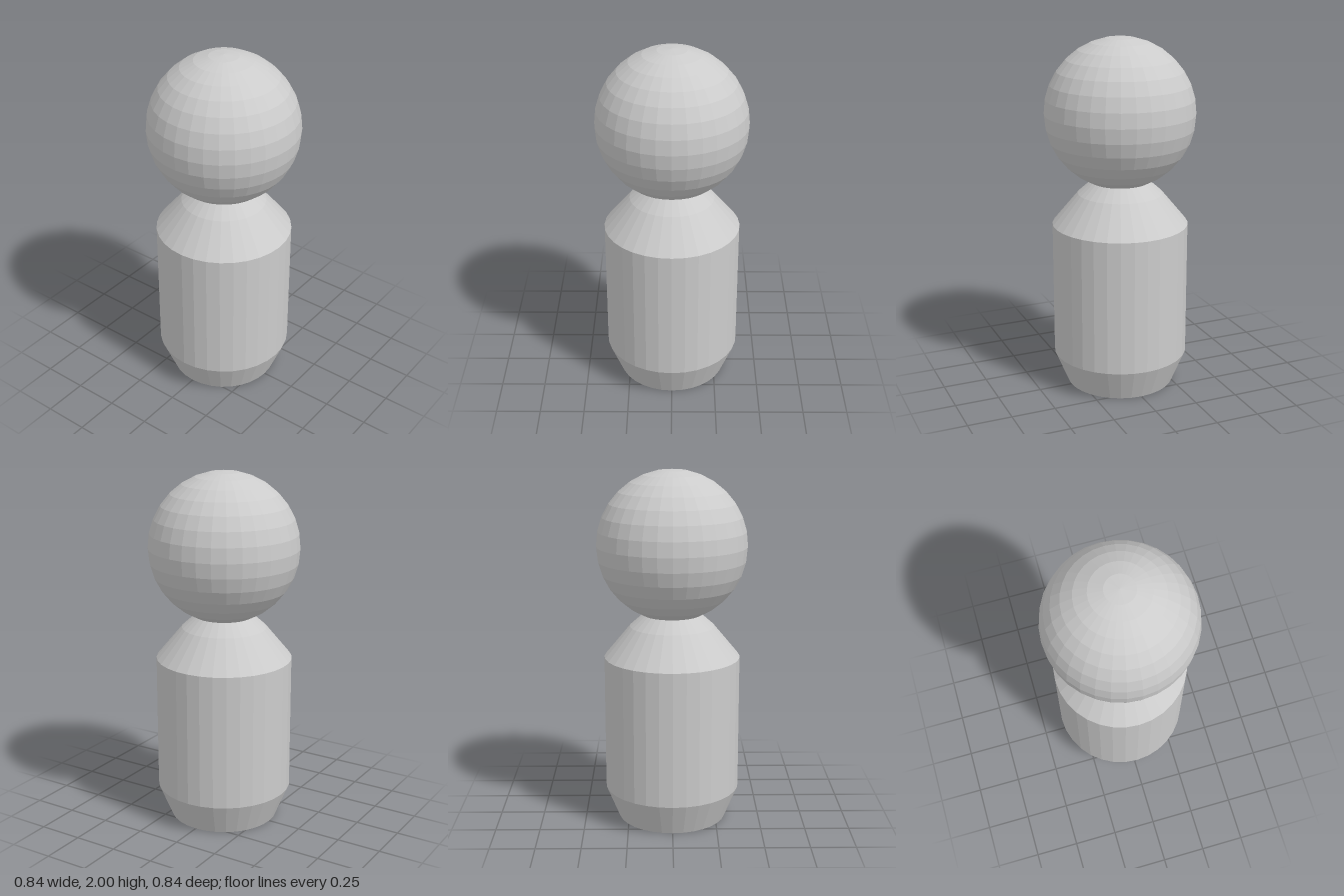
import * as THREE from 'three';

const SIDES = 32;

export function createModel() {
  const group = new THREE.Group();
  const material = new THREE.MeshStandardMaterial({ color: 0xcccccc, flatShading: true });

  const addPart = (name, geometry, y = 0) => {
    const mesh = new THREE.Mesh(geometry, material);
    mesh.name = name;
    mesh.position.y = y;
    group.add(mesh);
  };

  // Turned body: flat base, tapered foot, straight trunk, sloping shoulders into the head
  const profile = [
    [0, 0], [0.307, 0], [0.383, 0.185], [0.383, 0.952], [0.238, 1.127], [0.16, 1.196], [0, 1.25],
  ].map(([r, y]) => new THREE.Vector2(r, y));
  addPart('body', new THREE.LatheGeometry(profile, SIDES));

  // Round head
  addPart('head', new THREE.SphereGeometry(0.42, SIDES, SIDES / 2), 1.58);

  return group;
}
